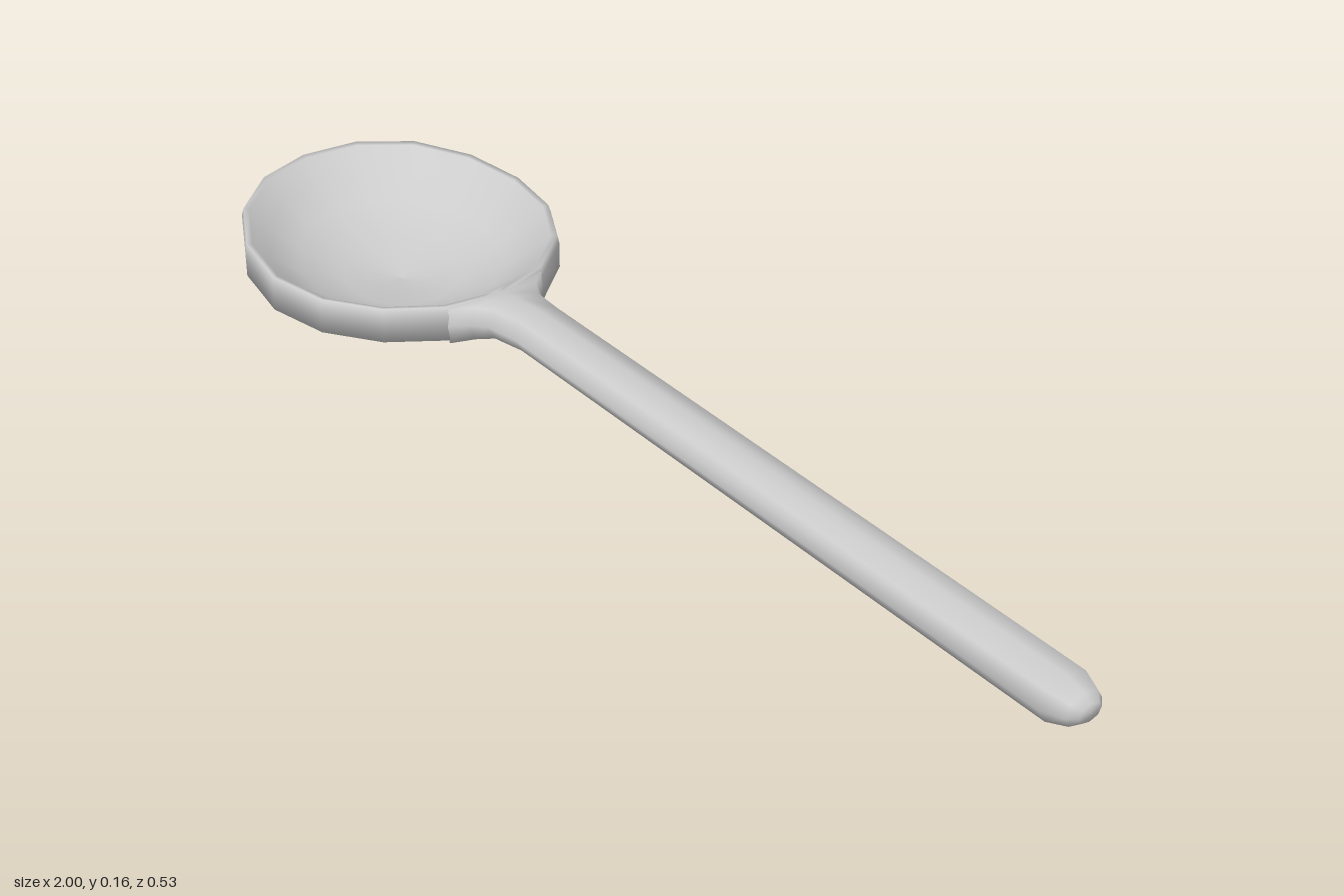
import * as THREE from 'three';

const material = new THREE.MeshStandardMaterial({ color: 0xcccccc, side: THREE.DoubleSide });

// Bowl: 16-sided revolved shell, stretched to an oval, raised towards both ends, slightly tilted
function makeBowl() {
  const profile = [
    [0, 0.001], [0.38, 0.008], [0.66, 0.022], [1, 0.066],
    [1, 0.115], [0.985, 0.13], [0.95, 0.128],
    [0.84, 0.098], [0.66, 0.064], [0.38, 0.034], [0, 0.021],
  ].map(([r, y]) => new THREE.Vector2(r, y));
  const geometry = new THREE.LatheGeometry(profile, 16, Math.PI / 2);
  const p = geometry.attributes.position;
  for (let i = 0; i < p.count; i++) {
    const xx = p.getX(i) ** 2;
    p.setY(i, p.getY(i) + 0.01 * xx * (3 - 2 * xx) - 0.004 * p.getZ(i));
  }
  geometry.scale(0.31, 1, 0.267);
  geometry.translate(-0.69, 0, 0);
  return geometry;
}

// Loft of eight-sided sections along x: [x, bottom, top, half width, squareness]
function loft(sections, sides = 8) {
  const positions = [], index = [];
  const squash = (v, k) => Math.sign(v) * Math.abs(v) ** k;
  sections.forEach(([x, bottom, top, width, power], i) => {
    for (let j = 0; j < sides; j++) {
      const a = (j / sides) * Math.PI * 2;
      positions.push(
        x,
        (top + bottom) / 2 + squash(Math.cos(a), power) * (top - bottom) / 2,
        squash(Math.sin(a), power) * width,
      );
      if (i === sections.length - 1) continue;
      const b = i * sides + j, c = i * sides + (j + 1) % sides;
      index.push(b, c, b + sides, c, c + sides, b + sides);
    }
  });
  const geometry = new THREE.BufferGeometry();
  geometry.setAttribute('position', new THREE.Float32BufferAttribute(positions, 3));
  geometry.setIndex(index);
  geometry.computeVertexNormals();
  return geometry;
}

export function createModel() {
  const spoon = new THREE.Group();
  spoon.name = 'spoon';

  const bowl = new THREE.Mesh(makeBowl(), material);
  bowl.name = 'bowl';

  // Handle with a flared neck at the bowl and a blunt rounded tip
  const handle = new THREE.Mesh(loft([
    [-0.404, 0.067, 0.137, 0.102, 0.1],
    [-0.375, 0.072, 0.146, 0.076, 0.45],
    [-0.345, 0.077, 0.151, 0.06, 0.8],
    [-0.28, 0.081, 0.157, 0.053, 0.95],
    [0.95, 0.081, 0.157, 0.053, 0.95],
    [0.985, 0.092, 0.147, 0.038, 0.95],
    [0.999, 0.104, 0.136, 0.023, 0.95],
    [1, 0.1195, 0.1205, 0.001, 1],
  ]), material);
  handle.name = 'handle';

  spoon.add(bowl, handle);
  return spoon;
}
